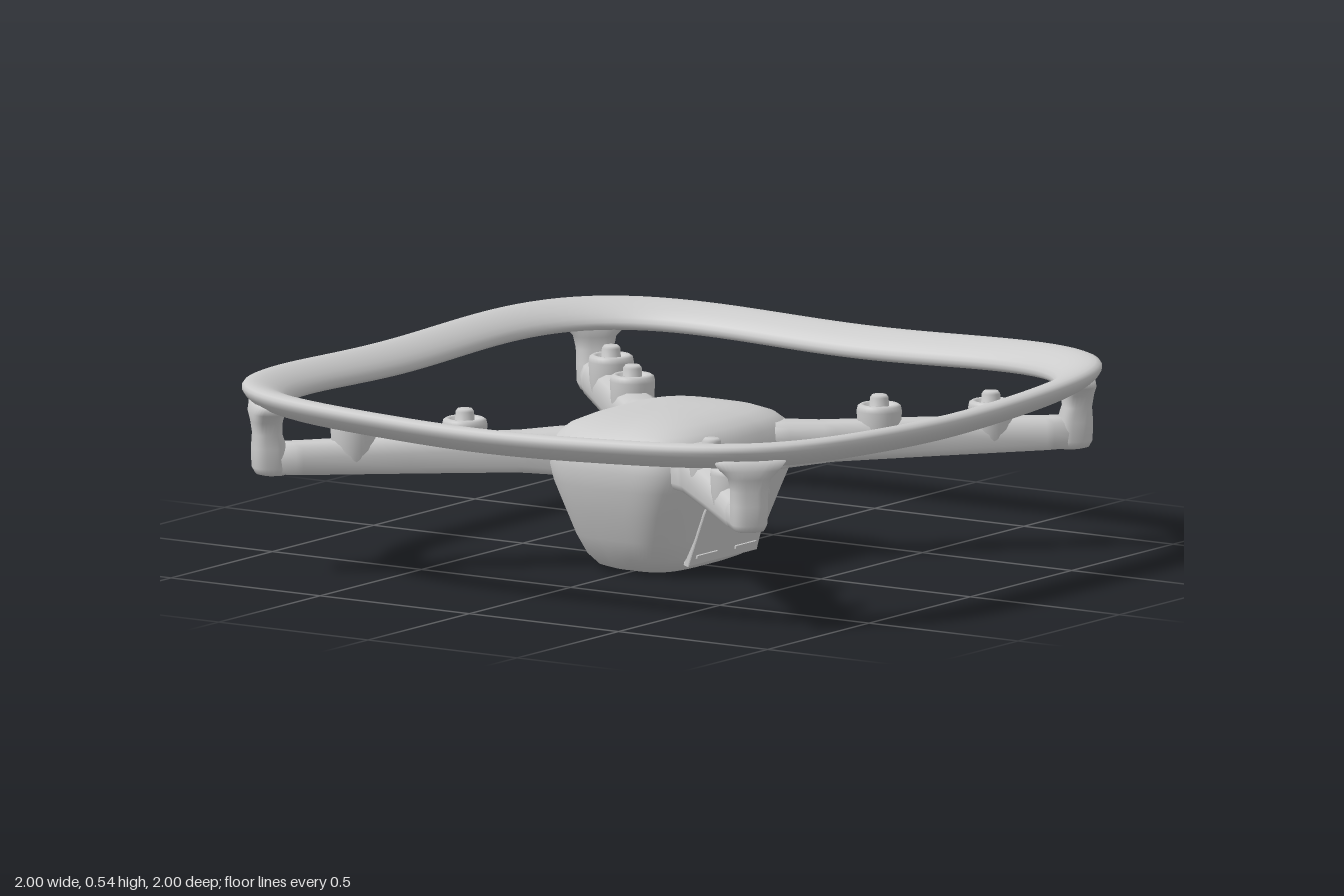
import * as THREE from 'three';

const grey = new THREE.MeshStandardMaterial({ color: 0xcccccc });

function mesh(geometry, name) {
  const m = new THREE.Mesh(geometry, grey);
  m.name = name;
  return m;
}

// Skin a list of equal-length cross-sections; either capped or closed into a loop
function loft(rings, loop = false) {
  const n = rings[0].length, count = rings.length, pos = [], idx = [];
  rings.forEach(r => r.forEach(p => pos.push(...p)));
  for (let i = 0; i < (loop ? count : count - 1); i++) {
    for (let j = 0; j < n; j++) {
      const k = (j + 1) % n, u = ((i + 1) % count) * n;
      const a = i * n + j, b = i * n + k, c = u + k, d = u + j;
      idx.push(a, b, c, a, c, d);
    }
  }
  if (!loop) {
    [0, count - 1].forEach((i, end) => {
      const centre = pos.length / 3;
      pos.push(...[0, 1, 2].map(c => rings[i].reduce((s, p) => s + p[c], 0) / n));
      for (let j = 0; j < n; j++) {
        const a = i * n + j, b = i * n + (j + 1) % n;
        idx.push(centre, end ? a : b, end ? b : a);
      }
    });
  }
  const g = new THREE.BufferGeometry();
  g.setAttribute('position', new THREE.Float32BufferAttribute(pos, 3));
  g.setIndex(idx);
  g.computeVertexNormals();
  return g;
}

const power = (v, n) => Math.sign(v) * Math.abs(v) ** (2 / n);

// Horizontal superellipse section centred on (cx, y, 0)
function slab(cx, y, hx, hz, n, steps = 64) {
  return Array.from({ length: steps }, (_, i) => {
    const t = i / steps * Math.PI * 2;
    return [cx + hx * power(Math.sin(t), n), y, hz * power(Math.cos(t), n)];
  });
}

// Rounded-square guard with a blade section that tilts down towards the inside
function guardRing() {
  const rings = [], steps = 160, sides = 20;
  const radius = (t, n) => (Math.abs(Math.cos(t)) ** n + Math.abs(Math.sin(t)) ** n) ** (-1 / n);
  for (let i = 0; i < steps; i++) {
    const t = i / steps * Math.PI * 2;
    const outer = radius(t, 4.4), inner = 0.88 * radius(t, 4.7);
    const lift = 0.02 * Math.sin(2 * t) ** 2;
    const mid = (outer + inner) / 2, half = (outer - inner) / 2;
    rings.push(Array.from({ length: sides }, (_, j) => {
      const a = j / sides * Math.PI * 2;
      const r = mid + half * Math.cos(a) - 0.008 * Math.sin(a);
      const y = 0.478 + lift + 0.027 * Math.cos(a) + 0.03 * Math.sin(a);
      return [r * Math.cos(t), y, r * Math.sin(t)];
    }));
  }
  return loft(rings, true);
}

// Arm section with a channel of depth g along its underside
function armSection(x, w, top, bottom, g) {
  const half = [[0.45, top], [0.8, top - 0.012], [1, top - 0.04], [0.96, bottom + 0.02],
    [0.85, bottom + 0.002], [0.62, bottom], [0.54, bottom + g], [0.3, bottom + g]];
  const right = half.map(([f, y]) => [x, y, f * w]);
  const left = half.map(([f, y]) => [x, y, -f * w]).reverse();
  return [...right, ...left];
}

function armGroup() {
  const group = new THREE.Group();
  group.add(mesh(loft([
    [0.2, 0.085, 0.39, 0.25, 0], [0.32, 0.078, 0.385, 0.262, 0], [0.42, 0.065, 0.38, 0.27, 0],
    [0.45, 0.062, 0.38, 0.272, 0.03], [0.75, 0.057, 0.378, 0.278, 0.03],
    [1.05, 0.052, 0.372, 0.283, 0.03], [1.07, 0.052, 0.372, 0.284, 0], [1.15, 0.045, 0.37, 0.288, 0],
  ].map(s => armSection(...s))), 'arm'));

  // Upright joining the arm end to the guard
  group.add(mesh(loft([
    [1.125, 0.282, 0.03, 0.03], [1.13, 0.287, 0.045, 0.042], [1.135, 0.305, 0.05, 0.05],
    [1.138, 0.36, 0.048, 0.052], [1.143, 0.4, 0.04, 0.052], [1.145, 0.435, 0.043, 0.06],
    [1.145, 0.46, 0.048, 0.085], [1.145, 0.49, 0.04, 0.11],
  ].map(([r, y, hr, hw]) => slab(r, y, hr, hw, 2.8, 32))), 'cornerUpright'));

  // Two motor cups with a raised hub
  const profile = [[0.052, 0.31], [0.06, 0.35], [0.063, 0.405], [0.06, 0.419], [0.052, 0.424],
    [0.04, 0.422], [0.037, 0.41], [0.027, 0.41], [0.026, 0.442], [0.02, 0.45], [0, 0.45]]
    .map(p => new THREE.Vector2(...p));
  for (const r of [0.585, 0.9]) {
    const motor = mesh(new THREE.LatheGeometry(profile, 32), 'motorMount');
    motor.position.x = r;
    group.add(motor);
  }
  return group;
}

// Rounded cover on a flank of the body, with two narrow latches
function sidePanel() {
  const group = new THREE.Group();
  const w = 0.165, h = 0.095, r = 0.035;
  const s = new THREE.Shape();
  s.moveTo(-w, -h);
  s.lineTo(w, -h);
  s.lineTo(w - 0.01, h - r);
  s.quadraticCurveTo(w - 0.012, h, w - r - 0.01, h);
  s.lineTo(-w + r + 0.01, h);
  s.quadraticCurveTo(-w + 0.012, h, -w + 0.01, h - r);
  s.closePath();
  group.add(mesh(new THREE.ExtrudeGeometry(s, {
    depth: 0.012, bevelSize: 0.004, bevelThickness: 0.004, bevelSegments: 2,
  }), 'sideCover'));
  for (const x of [-0.095, 0.095]) {
    const latch = mesh(new THREE.BoxGeometry(0.1, 0.009, 0.008), 'latch');
    latch.position.set(x, -0.07, 0.017);
    group.add(latch);
  }
  return group;
}

export function createModel() {
  const model = new THREE.Group();
  model.name = 'quadcopter';
  model.add(mesh(guardRing(), 'guardRing'));

  // Body: y, half width, half length, squareness
  const body = mesh(loft([
    [0.0, 0.08, 0.15, 3.5], [0.002, 0.115, 0.195, 3.5], [0.014, 0.145, 0.23, 3.5],
    [0.045, 0.167, 0.262, 3.6], [0.1, 0.188, 0.29, 3.8], [0.18, 0.212, 0.318, 4],
    [0.25, 0.24, 0.338, 4], [0.3, 0.257, 0.343, 4], [0.34, 0.257, 0.338, 4],
    [0.375, 0.245, 0.322, 4], [0.402, 0.218, 0.292, 3.8], [0.42, 0.178, 0.245, 3.6],
    [0.431, 0.12, 0.17, 3.4], [0.436, 0.05, 0.08, 3],
  ].map(([y, hx, hz, n]) => slab(0, y, hx, hz, n, 96))), 'body');
  model.add(body);

  // Small nub on the back
  const nub = mesh(new THREE.SphereGeometry(0.045, 24, 16), 'rearNub');
  nub.position.set(0, 0.21, -0.305);
  model.add(nub);

  for (const side of [1, -1]) {
    const panel = sidePanel();
    panel.name = 'sidePanel';
    panel.rotation.set(0.31, side * Math.PI / 2, 0, 'YXZ');
    panel.position.set(side * 0.182, 0.122, -0.005);
    model.add(panel);
  }

  for (let i = 0; i < 4; i++) {
    const arm = armGroup();
    arm.name = 'armAssembly';
    arm.rotation.y = Math.PI / 4 + i * Math.PI / 2;
    model.add(arm);
  }
  return model;
}
